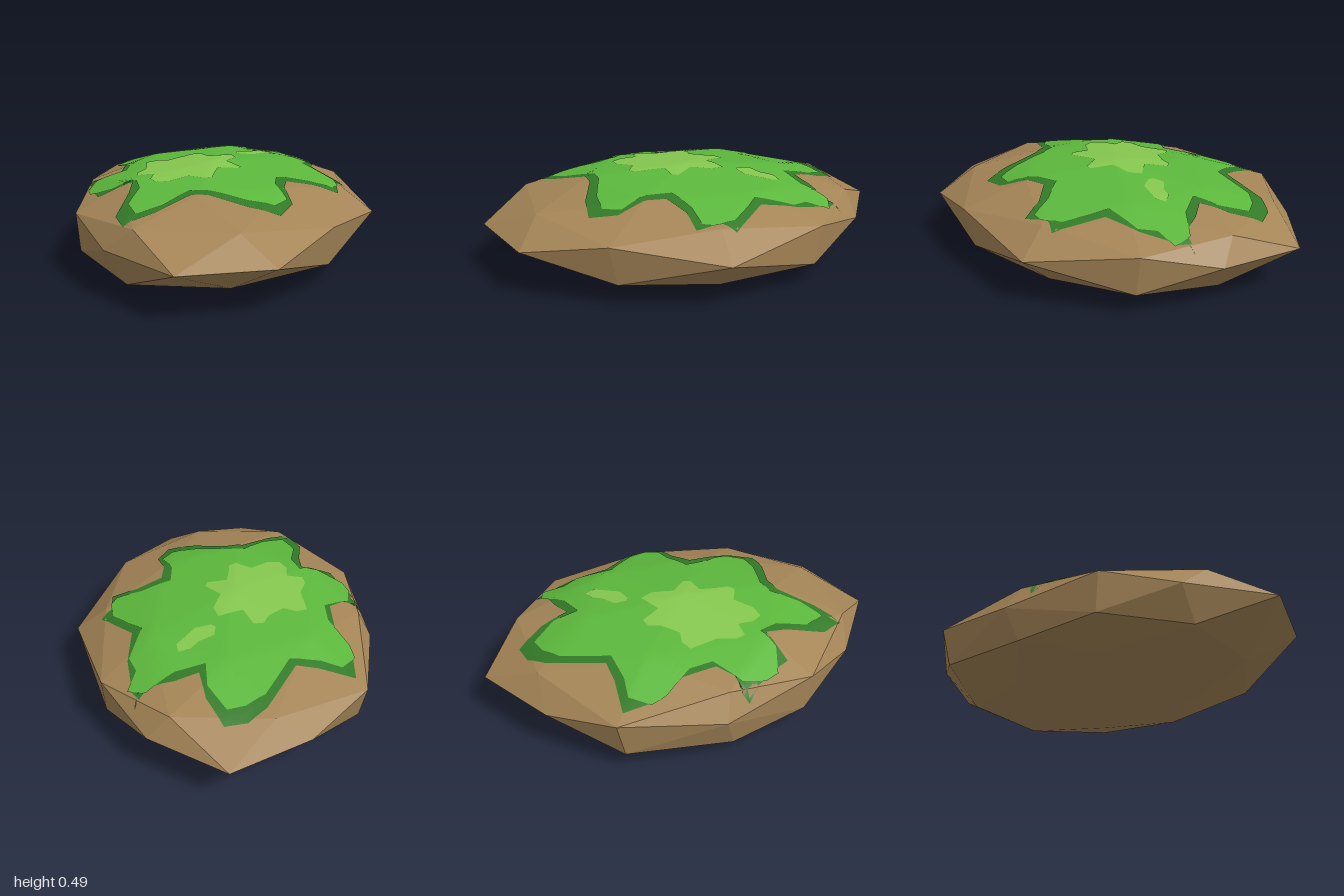
import * as THREE from 'three';

const CX = -0.04, HALF = 0.24;

// Skewed horizontal axes of the rock
const toWorld = (a, b) => [CX - 0.28 * a - 0.75 * b, a - 0.2 * b];

// Irregular rim of the rock, as x, z pairs
const RIM = [
  [0.21, -1], [0.53, -0.7], [0.69, -0.35], [0.755, 0.2], [0.43, 0.66], [0.11, 0.975],
  [-0.34, 1], [-0.63, 0.63], [-0.76, 0.28], [-0.74, -0.21], [-0.54, -0.69], [-0.21, -0.88],
];

// Faceted boulder: a squashed icosphere with a fuller belly and a chipped rim
function rockGeometry() {
  const geo = new THREE.IcosahedronGeometry(1, 1);
  const p = geo.attributes.position;
  for (let i = 0; i < p.count; i++) {
    const h = p.getY(i), below = h < -0.01;
    let [x, z] = toWorld(p.getX(i), p.getZ(i));
    if (Math.abs(h) < 0.4) {
      const dist = (r) => Math.hypot(r[0] - x, r[1] - z);
      [x, z] = RIM.reduce((best, r) => (dist(r) < dist(best) ? r : best));
      if (below) [x, z] = [x * 0.98, z * 0.93];
    } else if (below) {
      [x, z] = [x - 0.03, z * 0.87];
    } else {
      z *= 0.95;
    }
    const y = below ? -Math.pow(-h, 0.55) : h;
    p.setXYZ(i, x, HALF + HALF * y, z);
  }
  geo.computeVertexNormals();
  return geo;
}

// Leafy patch draped over the rock: rings from the centre out to the outline
function patchGeometry(rock, outline, cx, cz, lift, rings) {
  const ray = new THREE.Raycaster();
  const down = new THREE.Vector3(0, -1, 0);
  const heightAt = (x, z) => {
    ray.set(new THREE.Vector3(x, 2, z), down);
    const hit = ray.intersectObject(rock)[0];
    return (hit ? hit.point.y : HALF) + lift;
  };
  const edge = [];
  outline.forEach(([x, z], i) => {
    const [nx, nz] = outline[(i + 1) % outline.length];
    for (const t of [0, 1 / 3, 2 / 3]) edge.push([x + (nx - x) * t, z + (nz - z) * t]);
  });
  const n = edge.length, pos = [], idx = [];
  for (let r = 0; r <= rings; r++) {
    for (const [ex, ez] of edge) {
      const x = cx + (ex - cx) * r / rings, z = cz + (ez - cz) * r / rings;
      pos.push(x, heightAt(x, z), z);
    }
  }
  for (let r = 0; r < rings; r++) {
    for (let i = 0; i < n; i++) {
      const j = (i + 1) % n, a = r * n + i, b = r * n + j, c = a + n, d = b + n;
      if (r > 0) idx.push(a, b, d);
      idx.push(a, d, c);
    }
  }
  // Outlines run clockwise from above, so turn the faces upward
  idx.reverse();
  const geo = new THREE.BufferGeometry();
  geo.setAttribute('position', new THREE.Float32BufferAttribute(pos, 3));
  geo.setIndex(idx);
  geo.computeVertexNormals();
  return geo;
}

// Outlines as x, z pairs, clockwise from above
const GRASS = [
  [0.07, -0.74], [0.16, -0.74], [0.22, -0.6], [0.2, -0.47], [0.35, -0.47], [0.5, -0.53],
  [0.58, -0.48], [0.52, -0.38], [0.54, -0.29], [0.45, -0.12], [0.5, -0.05], [0.57, 0.07],
  [0.57, 0.18], [0.53, 0.23], [0.4, 0.21], [0.24, 0.23], [0.21, 0.35], [0.24, 0.5],
  [0.17, 0.57], [0.04, 0.54], [-0.13, 0.45], [-0.22, 0.44], [-0.35, 0.54], [-0.48, 0.58],
  [-0.51, 0.45], [-0.45, 0.3], [-0.46, 0.19], [-0.57, 0.2], [-0.69, 0.12], [-0.7, 0.04],
  [-0.66, -0.07], [-0.5, -0.13], [-0.48, -0.25], [-0.54, -0.42], [-0.54, -0.5], [-0.45, -0.57],
  [-0.35, -0.53], [-0.2, -0.51], [-0.13, -0.59], [-0.03, -0.7],
];
const UNDERGROWTH = [
  [0.08, -0.82], [0.19, -0.81], [0.24, -0.66], [0.24, -0.51], [0.36, -0.52], [0.53, -0.5],
  [0.56, -0.57], [0.55, -0.3], [0.5, -0.12], [0.56, -0.02], [0.63, 0.1], [0.57, 0.14],
  [0.55, 0.27], [0.42, 0.25], [0.28, 0.28], [0.25, 0.38], [0.26, 0.53], [0.18, 0.645],
  [0.04, 0.6], [-0.13, 0.5], [-0.22, 0.49], [-0.4, 0.6], [-0.54, 0.65], [-0.57, 0.52],
  [-0.5, 0.32], [-0.48, 0.21], [-0.65, 0.21], [-0.67, 0.1], [-0.7, 0], [-0.73, -0.08],
  [-0.7, -0.1], [-0.65, -0.07], [-0.53, -0.13], [-0.5, -0.3], [-0.54, -0.45], [-0.5, -0.63],
  [-0.33, -0.57], [-0.22, -0.55], [-0.13, -0.65], [-0.02, -0.77],
];
const LARGE_SPOT = [
  [-0.18, -0.21], [-0.14, -0.26], [-0.09, -0.26], [-0.06, -0.15], [0.07, -0.17], [0.08, -0.1],
  [0.02, 0], [0.08, 0.1], [0.06, 0.13], [-0.04, 0.12], [-0.07, 0.2], [-0.09, 0.27],
  [-0.13, 0.28], [-0.2, 0.22], [-0.3, 0.27], [-0.37, 0.26], [-0.39, 0.2], [-0.37, 0.12],
  [-0.45, 0.1], [-0.45, 0.05], [-0.4, -0.03], [-0.39, -0.18], [-0.33, -0.19], [-0.27, -0.16],
];
const SMALL_SPOT = [
  [0.1, -0.24], [0.12, -0.3], [0.2, -0.32], [0.25, -0.36], [0.31, -0.36],
  [0.31, -0.31], [0.26, -0.27], [0.2, -0.22], [0.12, -0.22],
];

export function createModel() {
  const model = new THREE.Group();
  const add = (name, geo, color, options) => {
    const mesh = new THREE.Mesh(geo, new THREE.MeshStandardMaterial({ color, ...options }));
    mesh.name = name;
    model.add(mesh);
    return mesh;
  };
  const thin = { side: THREE.DoubleSide };

  const rock = add('rock', rockGeometry(), 0xa58557, { flatShading: true });

  // Grass layers, each slightly above the last
  add('undergrowth', patchGeometry(rock, UNDERGROWTH, -0.08, 0, 0.004, 20), 0x327a28, thin);
  add('grass', patchGeometry(rock, GRASS, -0.08, 0, 0.008, 20), 0x5cb83c, thin);
  add('largeLightSpot', patchGeometry(rock, LARGE_SPOT, -0.16, 0, 0.011, 10), 0x86c850, thin);
  add('smallLightSpot', patchGeometry(rock, SMALL_SPOT, 0.2, -0.28, 0.011, 5), 0x86c850, thin);
  return model;
}
